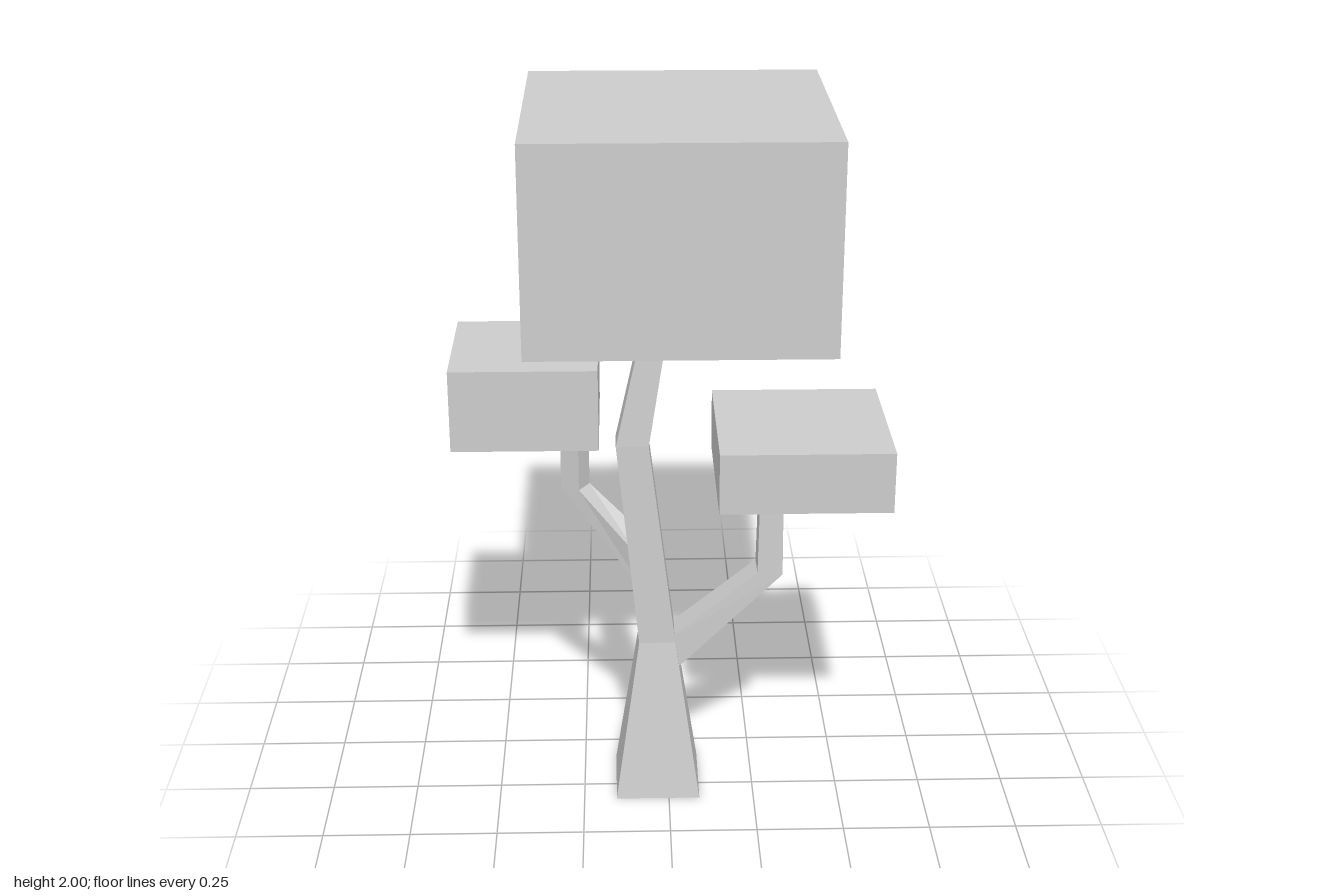
import * as THREE from 'three';

// Lofts a solid through four-cornered rings, listed from bottom to top.
// Corners run counter-clockwise as seen from above.
function loft(rings) {
  const pos = [];
  const quad = (a, b, c, d) => pos.push(...a, ...b, ...c, ...a, ...c, ...d);
  for (let i = 0; i < rings.length - 1; i++) {
    for (let j = 0; j < 4; j++) {
      const k = (j + 1) % 4;
      quad(rings[i][j], rings[i][k], rings[i + 1][k], rings[i + 1][j]);
    }
  }
  const [a, b, c, d] = rings[0];
  quad(d, c, b, a);
  quad(...rings[rings.length - 1]);
  const geometry = new THREE.BufferGeometry();
  geometry.setAttribute('position', new THREE.Float32BufferAttribute(pos, 3));
  geometry.computeVertexNormals();
  return geometry;
}

// Axis-aligned ring; its left and right edges may sit at different heights.
const ring = (x0, x1, z0, z1, yLeft, yRight = yLeft) => [
  [x0, yLeft, z1], [x1, yRight, z1], [x1, yRight, z0], [x0, yLeft, z0],
];

export function createModel() {
  const group = new THREE.Group();
  const grey = new THREE.MeshStandardMaterial({ color: 0xcccccc });
  grey.name = 'plainGrey';

  const add = (name, geometry) => {
    const mesh = new THREE.Mesh(geometry, grey);
    mesh.name = name;
    group.add(mesh);
    return mesh;
  };

  // Trunk: flared foot, then a gentle bend into the crown
  add('trunk', loft([
    ring(-0.155, 0.09, 0.085, 0.33, 0),
    ring(-0.085, 0.02, 0.155, 0.26, 0.485),
    ring(-0.147, -0.055, 0.162, 0.252, 1.1),
    ring(-0.07, 0.0, 0.165, 0.235, 1.45),
  ]));

  // Branch on the left, rising to the low foliage
  add('leftBranch', loft([
    ring(0, 0, 0.16, 0.255, 0.493, 0.373),
    ring(0.255, 0.327, 0.163, 0.25, 0.703, 0.697),
    ring(0.26, 0.325, 0.168, 0.243, 1.0),
  ]));

  // Branch on the right, turned diagonally towards the back
  const turned = (y) => [[-0.255, y, 0.11], [-0.225, y, 0.06], [-0.275, y, 0.027], [-0.307, y, 0.08]];
  add('rightBranch', loft([
    [[-0.075, 0.73, 0.22], [-0.035, 0.755, 0.165], [-0.03, 0.61, 0.172], [-0.045, 0.595, 0.225]],
    turned(0.905),
    turned(1.09),
  ]));

  // Foliage blocks: x, y and z ranges
  const foliage = {
    crown: [-0.393, 0.452, 1.412, 2, -0.445, 0.4],
    leftFoliage: [0.133, 0.61, 0.98, 1.155, -0.033, 0.443],
    rightFoliage: [-0.612, -0.195, 1.062, 1.302, -0.232, 0.187],
  };
  for (const [name, [x0, x1, y0, y1, z0, z1]] of Object.entries(foliage)) {
    add(name, new THREE.BoxGeometry(x1 - x0, y1 - y0, z1 - z0))
      .position.set((x0 + x1) / 2, (y0 + y1) / 2, (z0 + z1) / 2);
  }
  return group;
}
